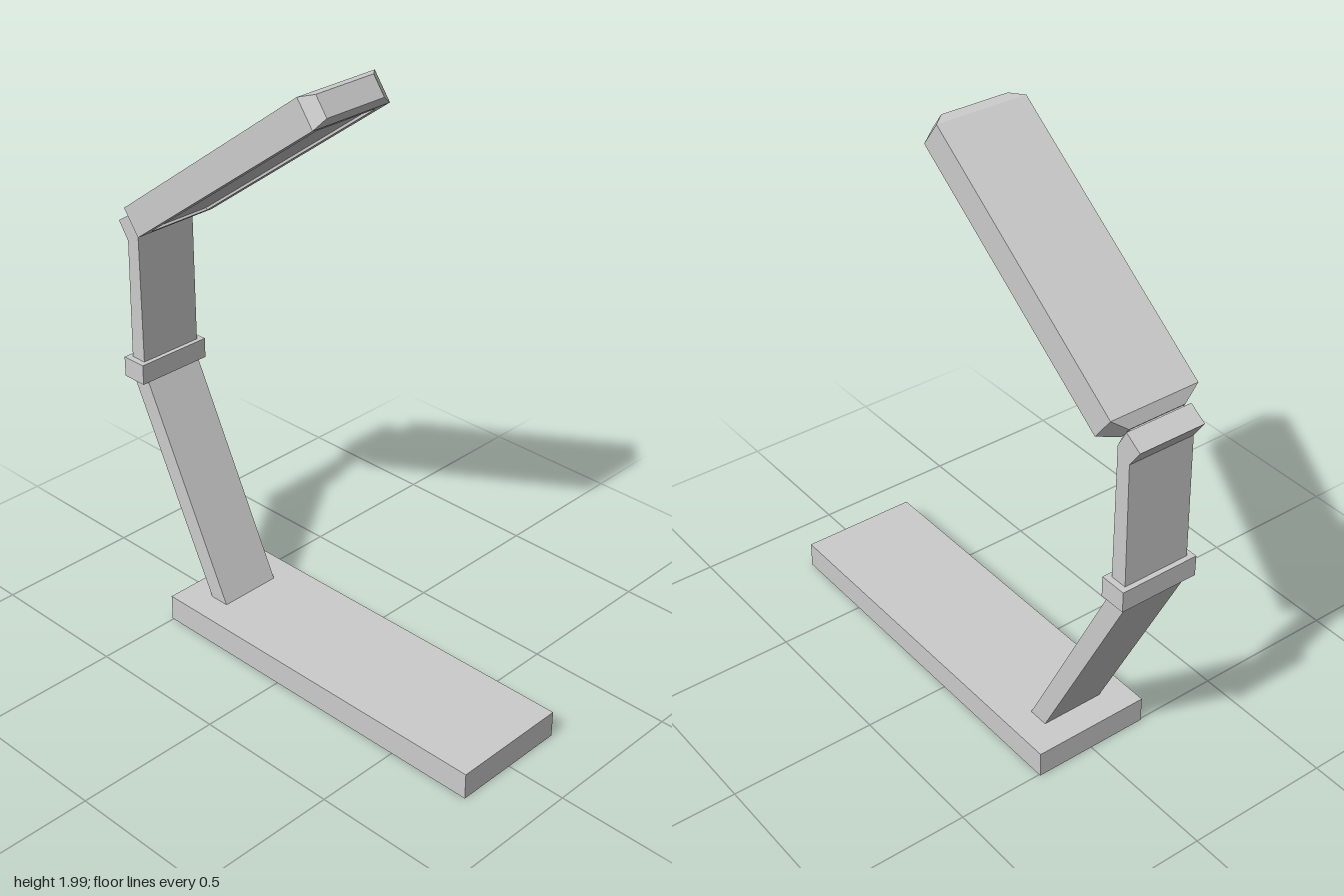
import * as THREE from 'three';

const grey = new THREE.MeshStandardMaterial({ color: 0xcccccc });
grey.name = 'light grey';

function part(name, geometry, parent) {
  const mesh = new THREE.Mesh(geometry, grey);
  mesh.name = name;
  parent.add(mesh);
  return mesh;
}

// Side profile given as [z, y] points, extruded across x and centred
function sideProfile(points, halfWidth) {
  const shape = new THREE.Shape(points.map(([z, y]) => new THREE.Vector2(z, y)));
  const geo = new THREE.ExtrudeGeometry(shape, { depth: halfWidth * 2, bevelEnabled: false });
  return geo.translate(0, 0, -halfWidth).rotateY(-Math.PI / 2);
}

// Rectangular sections [z, halfWidth, bottom, top] joined along z, flat shaded
function loft(sections) {
  const pos = [];
  const index = [];
  for (const [z, w, b, t] of sections) pos.push(-w, b, z, w, b, z, w, t, z, -w, t, z);
  for (let k = 0; k < sections.length - 1; k++) {
    for (let i = 0; i < 4; i++) {
      const a = k * 4 + i, e = k * 4 + ((i + 1) % 4);
      index.push(a, e, e + 4, a, e + 4, a + 4);
    }
  }
  const n = pos.length / 3 - 4;
  index.push(0, 2, 1, 0, 3, 2, n, n + 1, n + 2, n, n + 2, n + 3);
  const geo = new THREE.BufferGeometry();
  geo.setAttribute('position', new THREE.Float32BufferAttribute(pos, 3));
  geo.setIndex(index);
  const flat = geo.toNonIndexed();
  flat.computeVertexNormals();
  return flat;
}

function rectangle(Type, w, h) {
  return new Type([[-w, -h], [w, -h], [w, h], [-w, h]].map(([x, y]) => new THREE.Vector2(x, y)));
}

export function createModel() {
  const lamp = new THREE.Group();
  lamp.name = 'deskLamp';

  // Base slab
  part('base', new THREE.BoxGeometry(0.41, 0.09, 1.3), lamp).position.set(0, 0.045, 0.145);

  // Leaning lower arm, collar and upper arm with its tilted hinge head
  part('lowerArm', sideProfile([[-0.335, 0.085], [-0.405, 0.085], [-0.76, 0.81], [-0.688, 0.81]], 0.11), lamp);
  part('collar', new THREE.BoxGeometry(0.272, 0.07, 0.09), lamp).position.set(0, 0.84, -0.724);
  part('upperArm', sideProfile([
    [-0.695, 0.87], [-0.695, 1.328], [-0.727, 1.387], [-0.785, 1.35], [-0.745, 1.291], [-0.752, 0.87],
  ], 0.115), lamp);

  // Head assembly, tilted so its local z runs up towards the front
  const tilt = -0.633;
  const hinge = new THREE.Group();
  hinge.name = 'hinge';
  hinge.position.set(0, 1.3575, -0.711);
  hinge.rotation.x = tilt;
  lamp.add(hinge);
  part('hingeBevel', loft([[-0.005, 0.115, -0.033, 0.033], [0.012, 0.09, -0.022, 0.022]]), hinge);

  const head = new THREE.Group();
  head.name = 'head';
  head.position.set(0, 1.667, -0.295);
  head.rotation.x = tilt;
  lamp.add(head);

  // Shade with bevelled ends; the underside is set in behind the rim
  const L = 0.474, W = 0.155, H = 0.051, D = 0.008;
  part('shade', loft([
    [-L - 0.035, 0.1, -0.025, 0.025],
    [-L, W, -H, H],
    [-L, W, -H + D, H],
    [L, W, -H + D, H],
    [L, W, -H, H],
    [L + 0.03, 0.115, -0.036, 0.036],
  ]), head);

  // Rim around the recessed light panel
  const rim = rectangle(THREE.Shape, W, L);
  rim.holes.push(rectangle(THREE.Path, 0.118, L - 0.025));
  const rimGeo = new THREE.ExtrudeGeometry(rim, { depth: D, bevelEnabled: false });
  part('lightRim', rimGeo.rotateX(Math.PI / 2), head).position.y = -H + D;

  return lamp;
}
